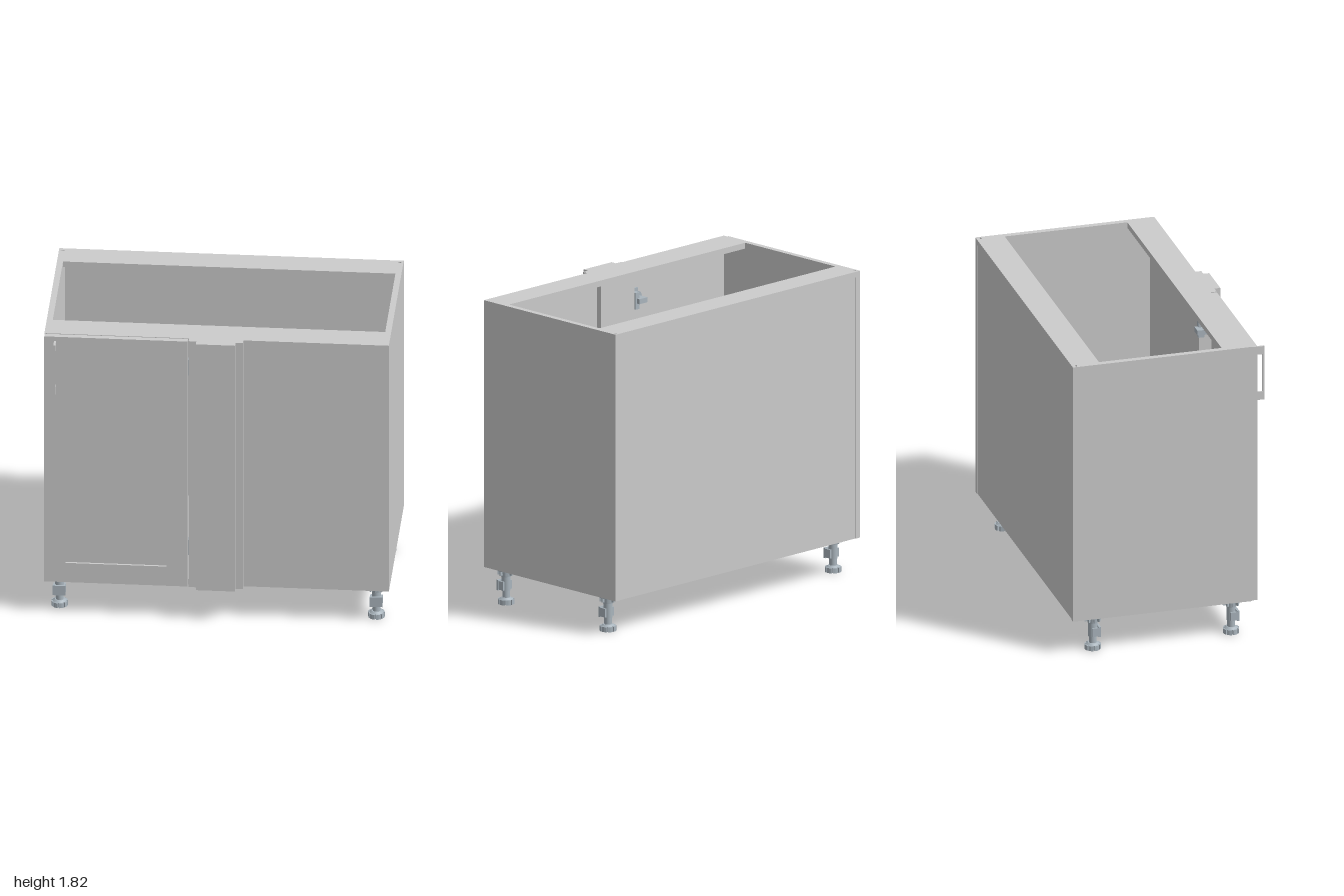
import * as THREE from 'three';

const grey = new THREE.MeshStandardMaterial({ color: 0xcccccc });
const legGrey = new THREE.MeshStandardMaterial({ color: 0xaab5bd });

function add(parent, name, geometry, material = grey) {
  const mesh = new THREE.Mesh(geometry, material);
  mesh.name = name;
  parent.add(mesh);
  return mesh;
}

// Box given by its limits on each axis
function box(parent, name, [x0, x1], [y0, y1], [z0, z1], material) {
  const mesh = add(parent, name, new THREE.BoxGeometry(x1 - x0, y1 - y0, z1 - z0), material);
  mesh.position.set((x0 + x1) / 2, (y0 + y1) / 2, (z0 + z1) / 2);
  return mesh;
}

function rect(shape, x0, x1, y0, y1) {
  return shape.moveTo(x0, y0).lineTo(x1, y0).lineTo(x1, y1).lineTo(x0, y1).closePath();
}

function cylinder(parent, name, rTop, rBottom, y0, y1, sides = 24) {
  const mesh = add(parent, name, new THREE.CylinderGeometry(rTop, rBottom, y1 - y0, sides), legGrey);
  mesh.position.y = (y0 + y1) / 2;
  return mesh;
}

const BOTTOM = 0.215, TOP = 1.815, T = 0.035;
const BACK = -0.587, FRONT = 0.492, DOOR = 0.527;

// Side panel: plan outline with a small vertical bore near the back
function sidePanel(parent, side) {
  const shape = rect(new THREE.Shape(), -T / 2, T / 2, -FRONT, -BACK);
  const bore = new THREE.Path();
  bore.absellipse(-side * 0.003, 0.562, 0.011, 0.006, 0, Math.PI * 2);
  shape.holes.push(bore);
  const geometry = new THREE.ExtrudeGeometry(shape, { depth: TOP - BOTTOM, bevelEnabled: false, curveSegments: 8 });
  geometry.rotateX(-Math.PI / 2);
  const mesh = add(parent, side > 0 ? 'leftSidePanel' : 'rightSidePanel', geometry);
  mesh.position.set(side * (1 - T / 2), BOTTOM, 0);
}

function createCarcass() {
  const g = new THREE.Group();
  g.name = 'carcass';
  const inner = [-1 + T, 1 - T];
  for (const side of [-1, 1]) sidePanel(g, side);
  box(g, 'bottomPanel', inner, [BOTTOM, BOTTOM + T], [-0.56, FRONT]);
  box(g, 'backPanel', inner, [BOTTOM, TOP - T], [-0.583, -0.565]);
  box(g, 'rearTopRail', inner, [TOP - T, TOP], [BACK, -0.42]);
  box(g, 'frontTopRail', inner, [TOP - T, TOP], [0.32, FRONT]);
  box(g, 'blindFrontPanel', [-0.16, 1 - T], [BOTTOM + T, TOP - T], [FRONT - T, FRONT]);
  box(g, 'hingePost', [-0.16, 0.11], [BOTTOM + T, TOP - T], [FRONT - 2 * T, FRONT - T]);
  return g;
}

// Framed door with a recessed centre panel
function createDoor() {
  const g = new THREE.Group();
  g.name = 'door';
  const y0 = BOTTOM + 0.003, y1 = TOP - 0.003;
  const frame = rect(new THREE.Shape(), -0.998, -0.166, y0, y1);
  frame.holes.push(rect(new THREE.Path(), -0.875, -0.287, 0.343, 1.69));
  const geometry = new THREE.ExtrudeGeometry(frame, { depth: DOOR - FRONT - 0.001, bevelEnabled: false });
  add(g, 'doorFrame', geometry).position.z = FRONT + 0.001;
  box(g, 'doorPanel', [-0.875, -0.287], [0.343, 1.69], [FRONT + 0.001, DOOR - 0.013]);
  return g;
}

function createHandle() {
  const g = new THREE.Group();
  g.name = 'handle';
  const x = [-0.941, -0.929];
  box(g, 'handleBar', x, [1.45, 1.785], [0.575, 0.587]);
  box(g, 'lowerHandleMount', x, [1.45, 1.5], [DOOR, 0.575]);
  box(g, 'upperHandleMount', x, [1.735, 1.785], [DOOR, 0.575]);
  return g;
}

// Concealed hinge: cup, arm and mounting plate
function createHinge(y) {
  const g = new THREE.Group();
  g.name = 'hinge';
  const cup = add(g, 'hingeCup', new THREE.CylinderGeometry(0.035, 0.035, 0.02, 20), legGrey);
  cup.rotation.x = Math.PI / 2;
  cup.position.set(-0.24, 0, 0.485);
  box(g, 'hingeFlange', [-0.25, -0.21], [-0.055, 0.055], [0.48, FRONT], legGrey);
  box(g, 'hingeArm', [-0.235, -0.17], [-0.015, 0.015], [0.39, 0.48], legGrey);
  box(g, 'hingePlate', [-0.19, -0.16], [-0.05, 0.05], [0.41, 0.445], legGrey);
  g.position.y = y;
  return g;
}

// Notched disc used for the foot
function notchedDisc(radius, depth, notches, height) {
  const shape = new THREE.Shape();
  const step = (Math.PI * 2) / notches;
  for (let i = 0; i < notches; i++) {
    for (const [f, r] of [[0.0, radius], [0.4, radius], [0.8, radius], [0.82, radius - depth], [0.98, radius - depth]]) {
      const a = (i + f) * step;
      const p = [Math.cos(a) * r, Math.sin(a) * r];
      if (i === 0 && f === 0) shape.moveTo(...p);
      else shape.lineTo(...p);
    }
  }
  shape.closePath();
  const geometry = new THREE.ExtrudeGeometry(shape, { depth: height, bevelEnabled: false });
  return geometry.rotateX(-Math.PI / 2);
}

// Adjustable leg with a ribbed socket, clip and notched foot
function createLeg(x, z) {
  const g = new THREE.Group();
  g.name = 'leg';
  add(g, 'foot', notchedDisc(0.048, 0.012, 8, 0.03), legGrey);
  cylinder(g, 'footCollar', 0.028, 0.04, 0.03, 0.04);
  cylinder(g, 'stem', 0.022, 0.022, 0.04, 0.09);
  cylinder(g, 'sleeve', 0.027, 0.027, 0.08, 0.175);
  cylinder(g, 'socket', 0.034, 0.03, 0.165, 0.2);
  cylinder(g, 'flange', 0.05, 0.05, 0.2, BOTTOM);
  for (let i = 0; i < 4; i++) {
    const rib = box(g, 'socketRib', [-0.049, 0.049], [0.175, 0.2], [-0.004, 0.004], legGrey);
    rib.rotation.y = (i * Math.PI) / 4;
  }
  box(g, 'clipPlate', [-0.037, 0.037], [0.08, 0.142], [0.028, 0.041], legGrey);
  for (const s of [-1, 1]) {
    box(g, 'clipJaw', [s * 0.03 - 0.006, s * 0.03 + 0.006], [0.085, 0.137], [-0.012, 0.03], legGrey);
  }
  g.position.set(x, 0, z);
  return g;
}

export function createModel() {
  const model = new THREE.Group();
  model.name = 'cornerBaseCabinet';
  model.add(createCarcass(), createDoor(), createHandle());

  // Stepped filler beside the door
  box(model, 'fillerBase', [-0.16, 0.155], [BOTTOM, TOP], [FRONT, DOOR]);
  box(model, 'fillerFace', [-0.115, 0.113], [BOTTOM, TOP], [DOOR, 0.563]);

  for (const y of [0.43, 1.6]) model.add(createHinge(y));
  for (const x of [-0.92, 0.92]) for (const z of [-0.445, 0.39]) model.add(createLeg(x, z));
  return model;
}
